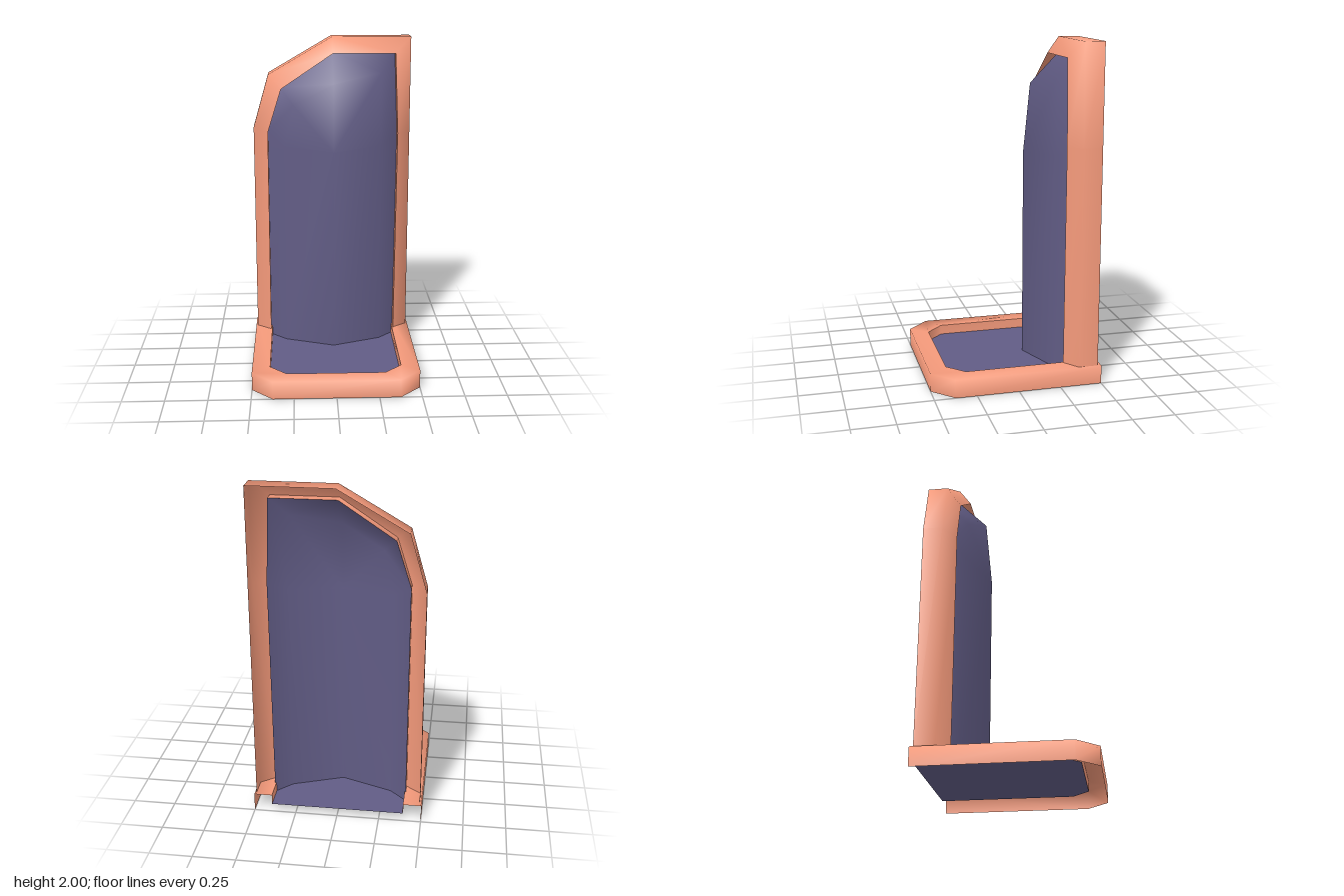
import * as THREE from 'three';
import { mergeVertices } from 'three/addons/utils/BufferGeometryUtils.js';

const shellMat = new THREE.MeshStandardMaterial({ color: 0xf59a7b, side: THREE.DoubleSide });
const panelMat = new THREE.MeshStandardMaterial({ color: 0x615c85, side: THREE.DoubleSide });

// Smooth open surface through rows of [x, y, z] points of equal length
function loft(name, rows, material) {
  const n = rows[0].length;
  const index = [];
  for (let r = 0; r < rows.length - 1; r++) {
    for (let i = 0; i < n - 1; i++) {
      const a = r * n + i, b = a + n;
      index.push(a, a + 1, b + 1, a, b + 1, b);
    }
  }
  let geo = new THREE.BufferGeometry();
  geo.setAttribute('position', new THREE.Float32BufferAttribute(rows.flat(2), 3));
  geo.setIndex(index);
  geo = mergeVertices(geo);
  geo.computeVertexNormals();
  const mesh = new THREE.Mesh(geo, material);
  mesh.name = name;
  return mesh;
}

// U-shaped plan of the base, open at the back
const uPlan = (half, cut) => {
  const right = [[half, -0.5], [half, half - cut], [half - cut, half]];
  return [...right.map(([x, z]) => [-x, z]), ...right.reverse()];
};

function createBase() {
  const base = new THREE.Group();
  base.name = 'base';
  const outer = uPlan(0.5, 0.125), inner = uPlan(0.393, 0.1);
  const at = (plan, y) => plan.map(([x, z]) => [x, y, z]);

  // Rim: outer wall with top band, then the inner lip down to the floor
  base.add(loft('baseRim', [at(outer, 0), at(outer, 0.11), at(inner, 0.11)], shellMat));
  base.add(loft('baseInnerLip', [at(inner, 0.11), at(inner, 0.05)], shellMat));

  // Recessed floor
  const shape = new THREE.Shape(inner.map(([x, z]) => new THREE.Vector2(x, -z)));
  const floor = new THREE.Mesh(new THREE.ShapeGeometry(shape), panelMat);
  floor.rotation.x = -Math.PI / 2;
  floor.position.y = 0.05;
  floor.name = 'baseFloor';
  base.add(floor);
  return base;
}

function createBack() {
  const back = new THREE.Group();
  back.name = 'back';
  const outer = [[-0.49, 0.11], [-0.49, 1.44], [-0.395, 1.77], [0, 2], [0.49, 2], [0.49, 1.41], [0.49, 0.11]];
  const inner = [[-0.4, 0.11], [-0.4, 1.42], [-0.315, 1.69], [0.005, 1.905], [0.39, 1.905], [0.41, 1.41], [0.4, 0.11]];
  const at = (path, z) => path.map(([x, y]) => [x, y, z]);

  // Frame: side wall with sloping front band, then the inner lip
  back.add(loft('backFrame', [at(outer, -0.48), at(outer, -0.365), at(inner, -0.295)], shellMat));
  back.add(loft('frameInnerLip', [at(inner, -0.295), at(inner, -0.36)], shellMat));

  // Bulging panel: edge ring, shoulder ring and central ridge
  const bottom = 0.05;
  const edge = inner.map(([x, y], i) => [x, i % 6 ? y : bottom, -0.36]);
  const shoulder = [
    [-0.3, bottom, -0.265], [-0.3, 1.34, -0.265], [-0.24, 1.6, -0.255], [0.005, 1.73, -0.19],
    [0.3, 1.79, -0.265], [0.305, 1.34, -0.265], [0.305, bottom, -0.265],
  ];
  const ridge = shoulder.map((p, i) => [0.005, i % 6 ? 1.32 : bottom, -0.15]);
  back.add(loft('backPanel', [edge, shoulder, ridge], panelMat));
  return back;
}

export function createModel() {
  const model = new THREE.Group();
  model.name = 'uprightStand';
  model.add(createBase(), createBack());
  return model;
}
